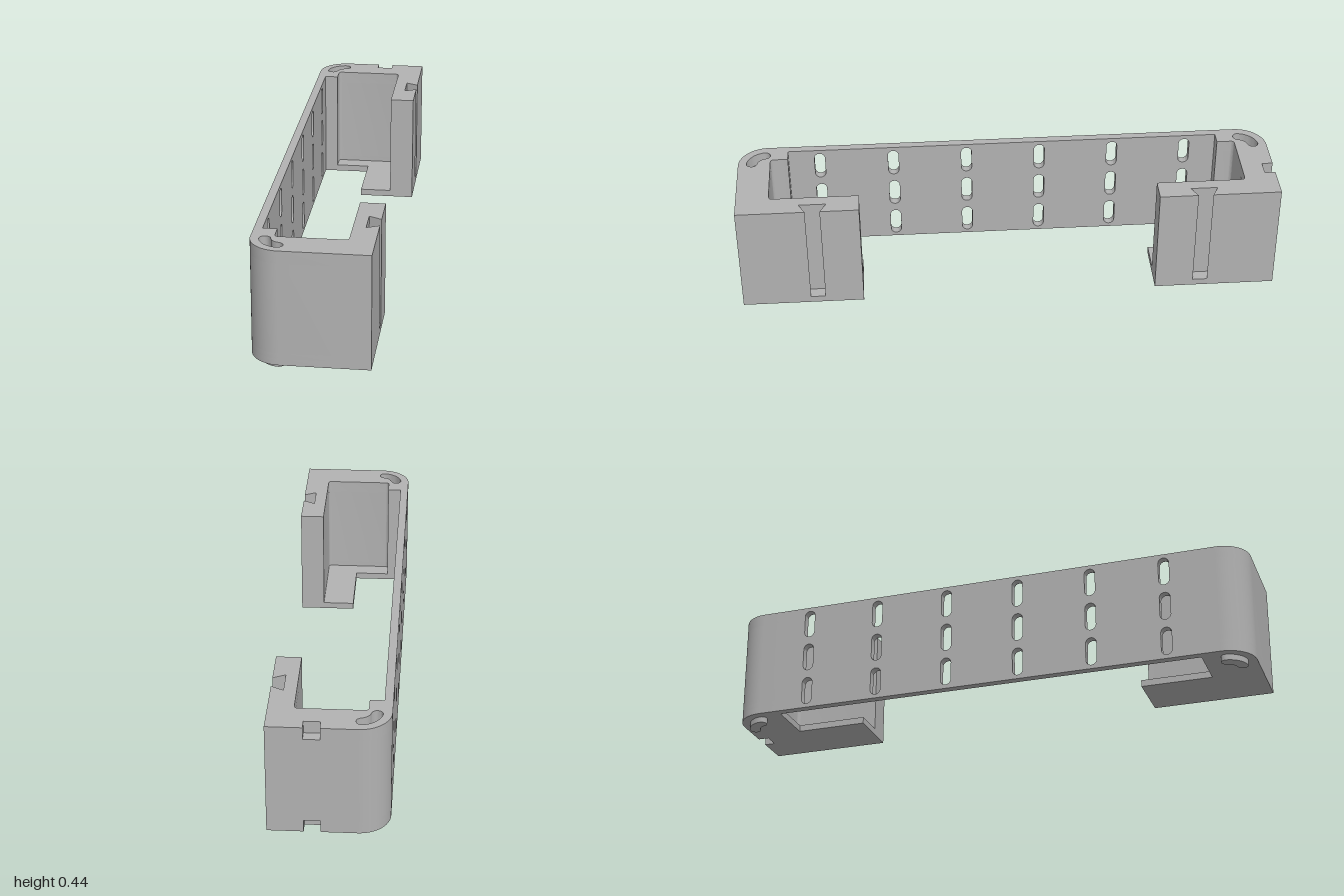
import * as THREE from 'three';
import { toCreasedNormals } from 'three/addons/utils/BufferGeometryUtils.js';

const BASE = 0.022, FLOOR = 0.047, TOP = 0.44, NOTCH = 0.045;
const INNER = 0.815;                // where the end blocks meet the long wall
const CX = -0.1, CS = 0.89, R = 0.11; // rounded corner

const arc = (cx, cy, r, a0, a1, n) => Array.from({ length: n + 1 }, (_, i) => {
  const a = a0 + (a1 - a0) * i / n;
  return [cx + r * Math.cos(a), cy + r * Math.sin(a)];
});

// curved slot that follows the rounded corner
function kidney(r = 0.06, w = 0.02) {
  const a0 = Math.PI * 0.555, a1 = Math.PI * 0.945;
  const end = (a) => [CX + r * Math.cos(a), CS + r * Math.sin(a)];
  return [
    ...arc(CX, CS, r + w, a0, a1, 10),
    ...arc(...end(a1), w, a1, a1 + Math.PI, 8).slice(1),
    ...arc(CX, CS, r - w, a1, a0, 10).slice(1),
    ...arc(...end(a0), w, a0 - Math.PI, a0, 8).slice(1, -1),
  ];
}

// outline of an end block in x and distance from the middle
function outline(isFloor, notched) {
  const pts = [[-0.21, INNER], ...arc(CX, CS, R, Math.PI, Math.PI / 2, 16)];
  if (notched) pts.push([0.025, 1], [0.025, 0.96], [0.083, 0.96], [0.083, 1]);
  pts.push([0.21, 1]);
  if (isFloor) pts.push([0.21, 0.55], [0, 0.55], [0, INNER]);
  else pts.push(
    [0.21, 0.747], [0.165, 0.77], [0.165, 0.67], [0.21, 0.693], // dovetail groove
    [0.21, 0.55], [0.12, 0.55],
    ...arc(0.108, 0.868, 0.012, 0, Math.PI / 2, 4),             // pocket corners
    ...arc(-0.118, 0.868, 0.012, Math.PI / 2, Math.PI, 4),
    [-0.13, INNER]);
  return pts;
}

const smooth = (g) => toCreasedNormals(g, 0.6);

export function createModel() {
  const group = new THREE.Group();
  const grey = new THREE.MeshStandardMaterial({ color: 0xb2b2b2 });
  grey.name = 'grey';

  const add = (parent, name, geometry) => {
    const mesh = new THREE.Mesh(smooth(geometry), grey);
    mesh.name = name;
    parent.add(mesh);
  };

  // upright slab from an outline, side = +1 front, -1 back
  const slab = (pts, side, y0, y1, hole) => {
    const toV = (p) => p.map(([x, s]) => new THREE.Vector2(x, -side * s));
    const shape = new THREE.Shape(toV(pts));
    if (hole) shape.holes.push(new THREE.Path(toV(hole)));
    const g = new THREE.ExtrudeGeometry(shape, { depth: y1 - y0, bevelEnabled: false });
    return g.rotateX(-Math.PI / 2).translate(0, y0, 0);
  };

  // end blocks, with notches only in the back one
  for (const side of [1, -1]) {
    const block = new THREE.Group();
    block.name = side > 0 ? 'frontBlock' : 'backBlock';
    const notched = side < 0;
    add(block, 'blockFloor', slab(outline(true, notched), side, BASE, FLOOR));
    add(block, 'blockLower', slab(outline(false, notched), side, FLOOR, BASE + NOTCH));
    add(block, 'blockMiddle', slab(outline(false, false), side, BASE + NOTCH, TOP - NOTCH));
    add(block, 'blockTop', slab(outline(false, notched), side, TOP - NOTCH, TOP, kidney()));
    add(block, 'stackingPeg', slab(kidney(), side, 0, BASE));
    group.add(block);
  }

  // long wall with a grid of rounded slots
  const wall = new THREE.Shape([[-INNER, BASE], [INNER, BASE], [INNER, TOP], [-INNER, TOP]]
    .map(([z, y]) => new THREE.Vector2(z, y)));
  const r = 0.02, half = 0.054;
  for (let i = 0; i < 6; i++) {
    for (const y of [0.091, 0.231, 0.371]) {
      const z = (i - 2.5) * 0.279;
      const slot = new THREE.Path();
      slot.absarc(z, y + half - r, r, 0, Math.PI, false);
      slot.absarc(z, y - half + r, r, Math.PI, Math.PI * 2, false);
      slot.closePath();
      wall.holes.push(slot);
    }
  }
  const wallGeometry = new THREE.ExtrudeGeometry(wall, { depth: 0.03, bevelEnabled: false, curveSegments: 10 });
  add(group, 'slottedWall', wallGeometry.rotateY(-Math.PI / 2).translate(-0.18, 0, 0));

  return group;
}
